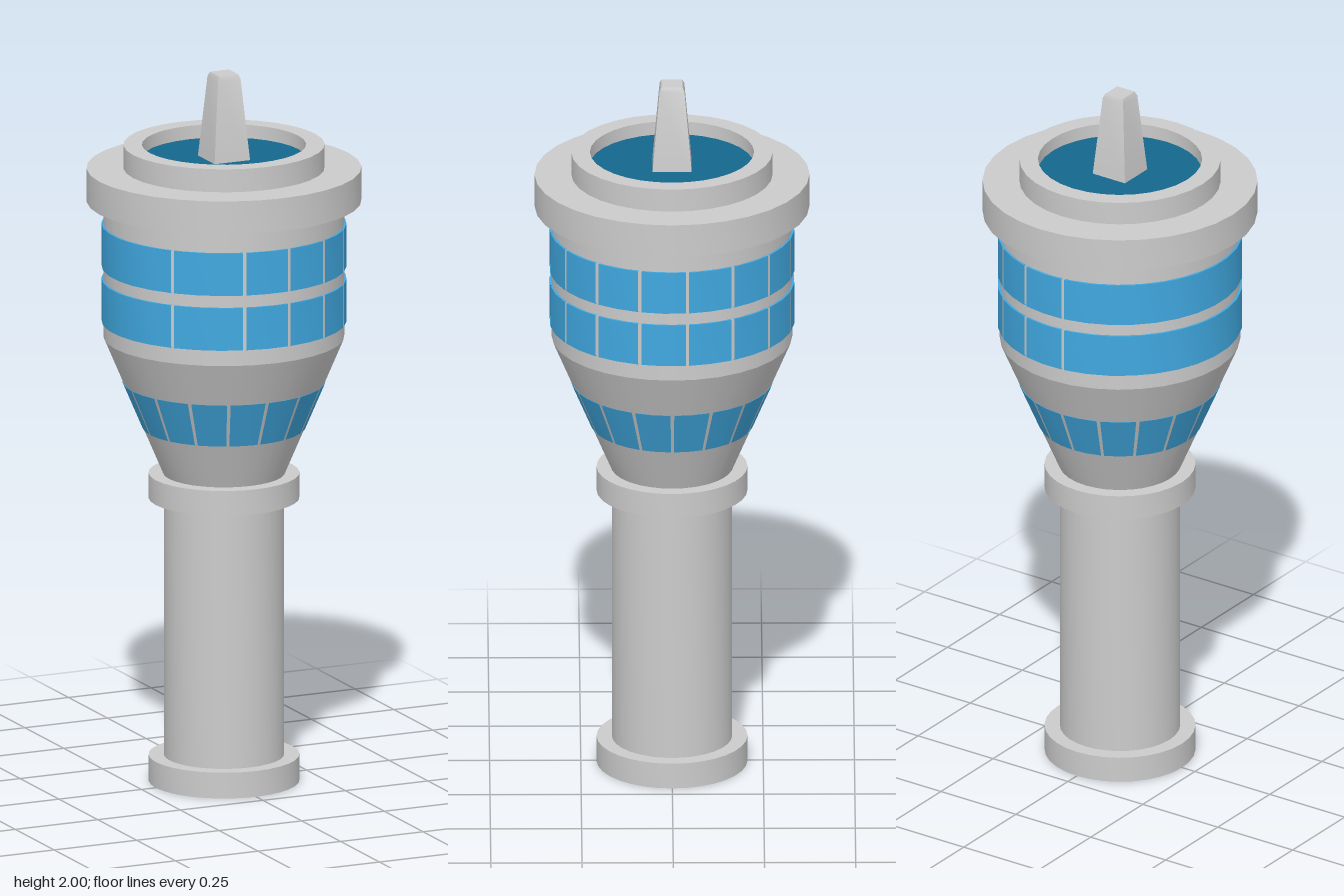
import * as THREE from 'three';
import { toCreasedNormals } from 'three/addons/utils/BufferGeometryUtils.js';

const SIDES = 32;
const DEG = Math.PI / 180;
const grey = new THREE.MeshStandardMaterial({ color: 0xcccccc });
const glass = new THREE.MeshStandardMaterial({ color: 0x40a8e0, side: THREE.DoubleSide });
const darkBlue = new THREE.MeshStandardMaterial({ color: 0x14678c });

// Revolves [radius, height] pairs, listed from bottom to top on the outside
function turned(name, profile, material, segments = SIDES, start = 0, sweep = Math.PI * 2) {
  const points = profile.map(([r, y]) => new THREE.Vector2(r, y));
  const lathe = new THREE.LatheGeometry(points, segments, start, sweep);
  const mesh = new THREE.Mesh(toCreasedNormals(lathe, 0.35), material);
  mesh.name = name;
  return mesh;
}

// Row of thin curved panes between the given angles, with a narrow mullion gap
function windowBand(name, cuts, r0, y0, r1, y1) {
  const band = new THREE.Group();
  band.name = name;
  const gap = 0.009 / ((r0 + r1) / 2);
  for (let i = 0; i < cuts.length - 1; i++) {
    const start = cuts[i] * DEG + gap / 2;
    const sweep = (cuts[i + 1] - cuts[i]) * DEG - gap;
    const segments = Math.max(2, Math.round(sweep / (11.25 * DEG)));
    const profile = [[r0 - 0.02, y0], [r0, y0], [r1, y1], [r1 - 0.02, y1]];
    band.add(turned('windowPane', profile, glass, segments, start, sweep));
  }
  return band;
}

export function createModel() {
  const tower = new THREE.Group();
  tower.name = 'controlTower';

  // Column with its foot and collar
  tower.add(
    turned('foot', [[0, 0], [0.207, 0], [0.207, 0.073], [0.165, 0.073]], grey),
    turned('shaft', [[0.165, 0.06], [0.165, 0.81]], grey),
    turned('collar', [[0.16, 0.8], [0.207, 0.8], [0.207, 0.87], [0.16, 0.87]], grey),
  );

  // Flared cabin
  tower.add(turned('cabin', [[0.165, 0.865], [0.33, 1.255], [0.33, 1.645]], grey));

  // Sloping windows, evenly spaced
  const evenCuts = Array.from({ length: 17 }, (_, i) => i * 22.5);
  tower.add(windowBand('lowerWindows', evenCuts, 0.224, 1.0, 0.279, 1.13));

  // Two upright window rows, with one long pane at the back left
  const upperCuts = [-50, ...Array.from({ length: 10 }, (_, i) => -15.5 + i * 22.5), 310];
  for (const [y0, y1] of [[1.3, 1.42], [1.455, 1.575]]) {
    tower.add(windowBand('upperWindows', upperCuts, 0.336, y0, 0.336, y1));
  }

  // Overhanging roof, its raised rim and sunken deck
  tower.add(
    turned('roof', [[0.32, 1.64], [0.377, 1.64], [0.377, 1.733], [0, 1.733]], grey),
    turned('roofRim', [[0.276, 1.73], [0.276, 1.798], [0.225, 1.798], [0.225, 1.73]], grey),
    turned('roofDeck', [[0.226, 1.76], [0, 1.76]], darkBlue),
  );

  // Square tapered mast with a chamfered tip
  const s = Math.SQRT2;
  tower.add(turned('mast',
    [[0.055 * s, 1.745], [0.034 * s, 1.988], [0.029 * s, 2], [0, 2]],
    grey, 4, Math.PI / 4));

  return tower;
}
